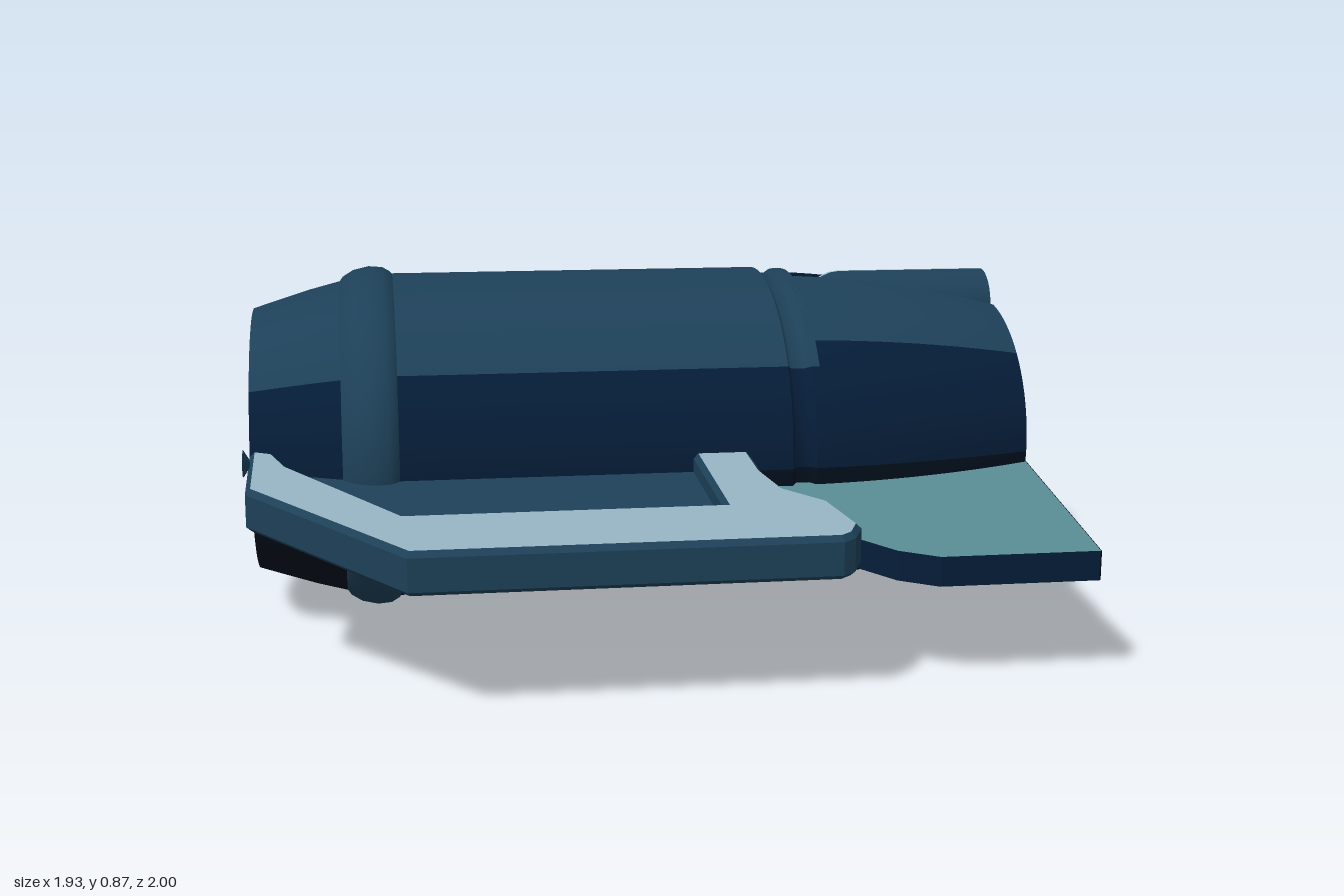
import * as THREE from 'three';

const HALF_Y = 0.415, HALF_Z = 0.485, MID_Y = 0.435;
const RAD = Math.PI / 180;

const mat = (name, color) => {
  const m = new THREE.MeshStandardMaterial({ color });
  m.name = name;
  return m;
};
const blue = mat('hull blue', 0x1d4058);
const navy = mat('navy', 0x051d38);
const deep = mat('deep navy', 0x01101d);
const light = mat('pale grey blue', 0x95b2c1);
const teal = mat('muted teal', 0x588a92);
const black = mat('black', 0x020202);

function add(parent, name, geometry, material) {
  const mesh = new THREE.Mesh(geometry, material);
  mesh.name = name;
  parent.add(mesh);
  return mesh;
}

// Smooth lathe turned onto the x axis; angle 0 is +z, 90 degrees is down
function latheX(profile, from = 0, sweep = 360) {
  const pts = profile.map(([x, r]) => new THREE.Vector2(r, x));
  const segs = Math.max(8, Math.round(sweep / 5));
  return new THREE.LatheGeometry(pts, segs, from * RAD, sweep * RAD).rotateZ(-Math.PI / 2);
}
const hull = (profile, from, sweep) =>
  latheX(profile, from, sweep).scale(1, HALF_Y, HALF_Z).translate(0, MID_Y, 0);

// Point on the elliptical hull; angle 0 is +z, 90 degrees is up
const hullPoint = (x, r, a) =>
  [x, MID_Y + HALF_Y * r * Math.sin(a), HALF_Z * r * Math.cos(a)];

// Surface from a rule f(u, v), u and v running 0..1
function surface(nu, nv, f) {
  const pos = [], idx = [];
  for (let i = 0; i <= nu; i++)
    for (let j = 0; j <= nv; j++) pos.push(...f(i / nu, j / nv));
  for (let i = 0; i < nu; i++)
    for (let j = 0; j < nv; j++) {
      const a = i * (nv + 1) + j, b = a + nv + 1;
      idx.push(a, a + 1, b, b, a + 1, b + 1);
    }
  const g = new THREE.BufferGeometry();
  g.setAttribute('position', new THREE.Float32BufferAttribute(pos, 3));
  g.setIndex(idx);
  g.computeVertexNormals();
  return g;
}

// Drooping slab from an outline of [x, distance from centre]; mats are edge, top, bottom
function slab(parent, name, outline, side, top, slope, thick, bevel, mats) {
  const shape = new THREE.Shape(outline.map(([x, w]) => new THREE.Vector2(x, w)));
  const ex = new THREE.ExtrudeGeometry(shape, {
    depth: thick - 2 * bevel, bevelEnabled: bevel > 0, bevelSize: bevel,
    bevelThickness: bevel, bevelOffset: -bevel, bevelSegments: 1,
  });
  const p = ex.attributes.position, out = [];
  for (let i = 0; i < p.count; i++) {
    // reverse the corner order on the mirrored side
    const k = side > 0 ? i - (i % 3) + [0, 2, 1][i % 3] : i;
    const w = p.getY(k);
    out.push(p.getX(k), top - slope * w + p.getZ(k) - thick + bevel, side * w);
  }
  const lid = ex.groups[0].count;
  const geo = new THREE.BufferGeometry();
  geo.setAttribute('position', new THREE.Float32BufferAttribute(out, 3));
  geo.computeVertexNormals();
  geo.addGroup(0, lid / 2, 2);
  geo.addGroup(lid / 2, lid / 2, 1);
  geo.addGroup(lid, p.count - lid, 0);
  add(parent, name, geo, mats);
}

function buildHull(root) {
  const g = new THREE.Group();
  g.name = 'hull';
  root.add(g);

  // Round sections: blue above, navy on the front flank, deep navy below
  const sections = {
    tailSection: [[-0.965, 0.8], [-0.9, 0.85], [-0.82, 0.91], [-0.74, 0.96]],
    midSection: [[-0.62, 1], [0.34, 1]],
    groove: [[0.34, 1], [0.352, 0.962], [0.385, 0.962], [0.4, 0.99]],
    noseRim: [[0.4, 0.99], [0.42, 0.989]],
  };
  for (const [name, prof] of Object.entries(sections)) {
    add(g, name, hull(prof, 178, 149), blue);
    add(g, name + 'Flank', hull(prof, -33, 35), navy);
    add(g, name + 'Belly', hull(prof, 2, 176), deep);
  }
  add(g, 'collarRing', hull([[-0.75, 0.94], [-0.737, 0.985], [-0.71, 1.025], [-0.67, 1.047],
    [-0.635, 1.04], [-0.615, 1.012], [-0.608, 0.99]]), blue);
  add(g, 'tailCap', hull([[-0.965, 0.0001], [-0.965, 0.8]]), black);

  // Hollow nose with a trench along its top
  const X0 = 0.42, X1 = 0.965, ZL = 0.08, ZR = -0.17, FLOOR = 0.725;
  const xAt = (u) => X0 + (X1 - X0) * u;
  const rAt = (u) => 0.989 - 0.06 * u - 0.144 * u * u;
  const edge = (u, z) => Math.acos(z / (HALF_Z * rAt(u)));
  const lip = (u, z) => hullPoint(xAt(u), rAt(u), edge(u, z))[1];
  const arc = (a0, a1) => (u, v) =>
    hullPoint(xAt(u), rAt(u), THREE.MathUtils.lerp(a0(u), a1(u), v));
  const at = (deg) => () => deg * RAD;
  const leftEdge = (u) => edge(u, ZL), rightEdge = (u) => edge(u, ZR) - 2 * Math.PI;
  // The lining turns inward and closes on the shell at the open rim
  const lining = (rule) => (u, v) => {
    const [x, y, z] = rule(1 - u, v), k = 1 - 0.02 * u;
    return [x, MID_Y + (y - MID_Y) * k, z * k];
  };
  // name, steps, rule, outer colour, lining colour
  const noseParts = [
    ['noseTop', 10, arc(leftEdge, at(43)), blue, deep],
    ['noseFlank', 10, arc(at(43), at(-2)), navy, deep],
    ['noseBelly', 36, arc(at(-2), at(-178)), deep, navy],
    ['noseBack', 16, arc(at(-178), rightEdge), blue, navy],
    ['trenchWallRight', 1, (u, v) =>
      [xAt(u), THREE.MathUtils.lerp(lip(u, ZR), FLOOR, v), ZR], navy, deep],
    ['trenchFloor', 1, (u, v) => [xAt(u), FLOOR, THREE.MathUtils.lerp(ZR, ZL, v)], navy, deep],
    ['trenchWallLeft', 1, (u, v) =>
      [xAt(u), THREE.MathUtils.lerp(FLOOR, lip(u, ZL), v), ZL], navy, deep],
  ];
  for (const [name, n, rule, outer, inner] of noseParts) {
    add(g, name, surface(14, n, rule), outer);
    add(g, name + 'Lining', surface(14, n, lining(rule)), inner);
  }
  add(g, 'bulkhead', new THREE.CircleGeometry(0.985, 72).rotateY(Math.PI / 2)
    .scale(1, HALF_Y, HALF_Z).translate(X0 + 0.001, MID_Y, 0), blue);

  // Pale oval window on the collar ring
  add(g, 'ovalWindow', surface(8, 40, (u, v) => {
    const t = v * 2 * Math.PI;
    const x = -0.67 + 0.049 * u * Math.cos(t);
    return hullPoint(x, 1.058 - 8 * (x + 0.668) ** 2, (123 - 27 * u * Math.sin(t)) * RAD);
  }), light);
}

function buildBarrel(root) {
  // Barrel lying in the trench: pale on its upper back, blue on its upper front
  const g = new THREE.Group();
  g.name = 'barrel';
  g.position.set(0, 0.74, -0.04);
  root.add(g);
  const prof = [];
  for (let i = 0; i <= 6; i++) {
    const a = i * 15 * RAD;
    prof.push([0.575 - 0.095 * Math.cos(a), Math.max(0.0001, 0.095 * Math.sin(a))]);
  }
  prof.push([0.966, 0.095]);
  add(g, 'barrelPaleSide', latheX(prof, 175, 97), light);
  add(g, 'barrelBlueSide', latheX(prof, 272, 88), blue);
  add(g, 'barrelUnderside', latheX(prof, 0, 175), deep);
  add(g, 'barrelEnd', new THREE.CircleGeometry(0.095, 36).rotateY(Math.PI / 2)
    .translate(0.966, 0, 0), black);
}

function buildSide(root, side) {
  const g = new THREE.Group();
  g.name = side > 0 ? 'frontSide' : 'backSide';
  root.add(g);

  // Wing: raised pale frame around a sunken blue panel
  slab(g, 'wingFrame', [[-0.965, 0.36], [-0.965, 0.62], [-0.61, 1], [0.34, 1], [0.37, 0.98],
    [0.395, 0.93], [0.355, 0.79], [0.27, 0.71], [0.24, 0.6], [0.23, 0.42], [0.09, 0.42],
    [0.11, 0.79], [-0.61, 0.79], [-0.87, 0.48], [-0.92, 0.36]],
  side, 0.54, 0.15, 0.1, 0.012, [blue, light, deep]);
  slab(g, 'wingPanel', [[-0.92, 0.36], [-0.88, 0.48], [-0.62, 0.8], [0.12, 0.8], [0.1, 0.4]],
    side, 0.495, 0.15, 0.054, 0, [blue, blue, deep]);

  // Nose fin, running on inside the hollow nose, with a black end face
  const tip = side > 0 ? 0.9 : 0.985;
  const outline = side > 0
    ? [[0.23, 0.4], [0.23, 0.5], [0.26, 0.6], [0.35, 0.72], [0.5, 0.86], [0.59, tip]]
    : [[0.23, 0.4], [0.23, 0.52], [0.25, 0.62], [0.34, 0.77], [0.51, 0.92], [0.66, tip]];
  slab(g, 'noseFin', [...outline, [0.966, tip], [0.966, 0.23], [0.6, 0.23], [0.45, 0.3]],
    side, 0.46, 0.17, 0.07, 0, [navy, side > 0 ? teal : light, deep]);
  slab(g, 'finEnd', [[0.965, 0.23], [0.965, tip], [0.968, tip], [0.968, 0.23]],
    side, 0.4595, 0.17, 0.069, 0, [black, black, black]);

  // Small pod above the wing at the tail
  add(g, 'tailPod', new THREE.CylinderGeometry(0.3, 1, 0.014, 8).rotateZ(-Math.PI / 2)
    .scale(1, 0.032, 0.045).translate(-0.958, 0.51, side * 0.63), [blue, blue, black]);
}

export function createModel() {
  const root = new THREE.Group();
  root.name = 'craft';
  buildHull(root);
  buildBarrel(root);
  for (const side of [1, -1]) buildSide(root, side);
  return root;
}
